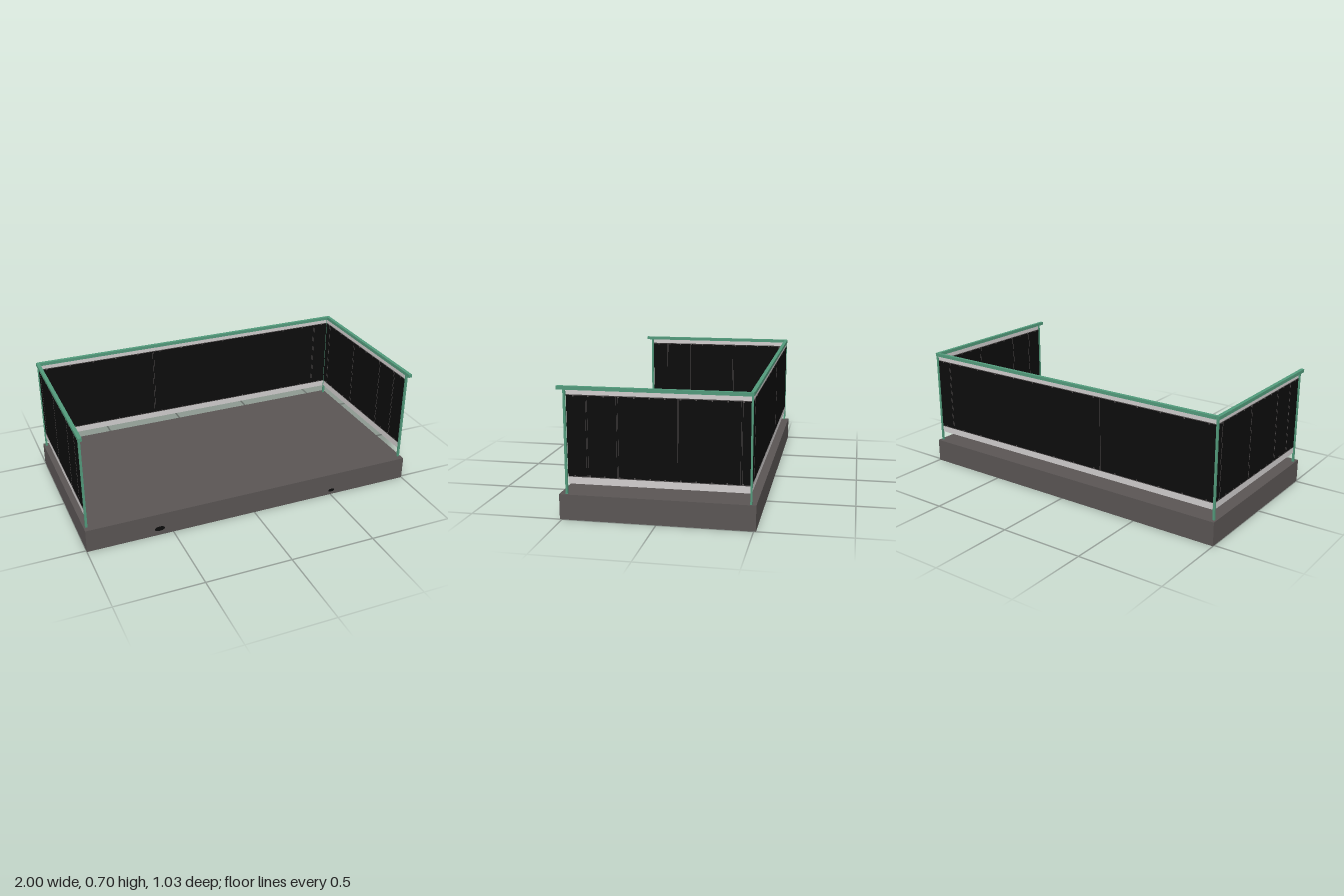
import * as THREE from 'three';

const mat = (name, color, side = THREE.FrontSide) => {
  const m = new THREE.MeshStandardMaterial({ color, side });
  m.name = name;
  return m;
};

export function createModel() {
  const concrete = mat('concrete', 0x5a5554, THREE.DoubleSide);
  const green = mat('railing green', 0x529a7b);
  const black = mat('panel black', 0x0c0c0c);
  const pale = mat('pale glass', 0xd0cdcd);
  const trim = mat('trim grey', 0x524e4e);

  const model = new THREE.Group();
  model.name = 'balcony';
  const box = (parent, name, material, w, h, d, x, y, z) => {
    const mesh = new THREE.Mesh(new THREE.BoxGeometry(w, h, d), material);
    mesh.name = name;
    mesh.position.set(x, y, z);
    parent.add(mesh);
    return mesh;
  };

  // Floor slab: a thin shell, open underneath
  const slab = box(model, 'floorSlab', concrete, 2, 0.136, 1.024, 0, 0.068, 0);
  const faces = Array.from(slab.geometry.index.array);
  faces.splice(18, 6);
  slab.geometry.setIndex(faces);
  slab.geometry.clearGroups();

  // Small drain spots on the front edge
  for (const [x, y, r] of [[-0.58, 0.042, 0.03], [0.505, 0.028, 0.02]]) {
    const spot = new THREE.Mesh(new THREE.CircleGeometry(r, 12), black);
    spot.name = 'drainSpot';
    spot.scale.y = 0.5;
    spot.position.set(x, y, 0.5135);
    model.add(spot);
  }

  // One wall panel along its own x axis: dark sheet, pale margins, trim and clips
  const panel = (name, length, seams, clipStep) => {
    const g = new THREE.Group();
    g.name = name;
    box(g, 'darkSheet', black, length, 0.426, 0.006, 0, 0.445, 0);
    box(g, 'upperGlass', pale, length, 0.03, 0.005, 0, 0.673, 0);
    box(g, 'lowerGlass', pale, length, 0.038, 0.005, 0, 0.211, 0);
    for (const y of [0.231, 0.659]) box(g, 'trimStrip', trim, length, 0.004, 0.007, 0, y, 0);
    for (const x of seams) {
      for (const dx of [-0.004, 0.004]) box(g, 'seam', trim, 0.0015, 0.426, 0.007, x + dx, 0.445, 0);
    }
    const n = Math.floor(length / clipStep);
    for (let i = 0; i <= n; i++) {
      const x = (i - n / 2) * clipStep;
      for (const y of [0.236, 0.654]) box(g, 'clip', trim, 0.008, 0.007, 0.008, x, y, 0);
    }
    model.add(g);
    return g;
  };

  panel('backPanel', 1.95, [-0.26, 0.88], 0.144).position.set(0, 0, -0.484);
  for (const side of [-1, 1]) {
    const p = panel(side < 0 ? 'rightPanel' : 'leftPanel', 0.944, [-0.367, -0.207, 0.106, 0.426], 0.079);
    p.rotation.y = Math.PI / 2;
    p.position.set(side * 0.981, 0, -0.008);
  }

  // Corner posts and handrails
  for (const side of [-1, 1]) {
    for (const z of [0.474, -0.485]) {
      box(model, 'post', green, 0.012, 0.56, z > 0 ? 0.012 : 0.01, side * 0.984, 0.412, z);
    }
    box(model, 'sideHandrail', green, 0.02, 0.019, 1.002, side * 0.985, 0.695, 0.011);
  }
  box(model, 'backHandrail', green, 1.95, 0.018, 0.02, 0, 0.695, -0.484);

  return model;
}
